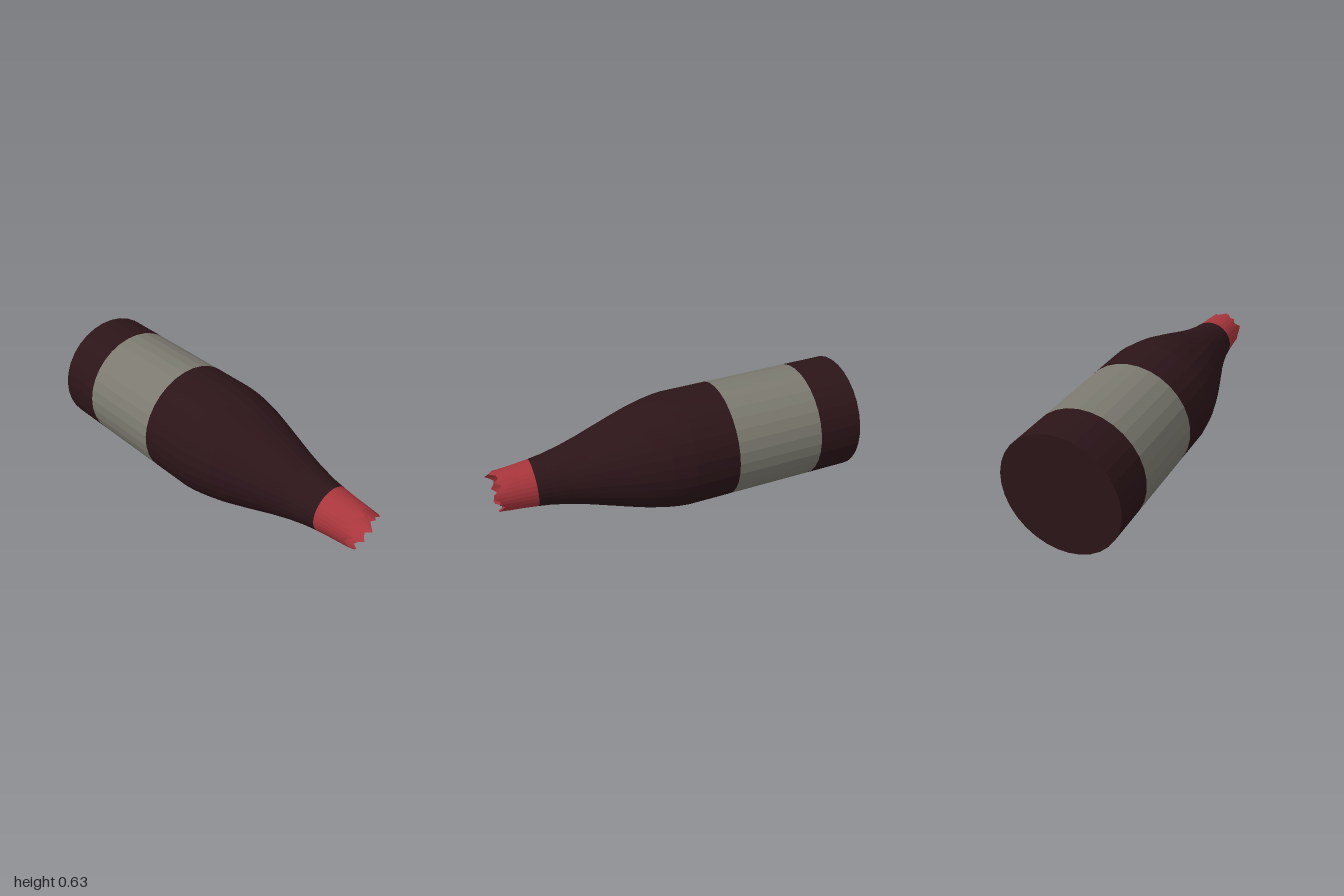
import * as THREE from 'three';

const SIDES = 32;

// Turned section; each profile point is [distance along the axis, radius]
function turned(name, profile, color) {
  const points = profile.map(([along, radius]) => new THREE.Vector2(radius, along));
  const geometry = new THREE.LatheGeometry(points, SIDES, Math.PI / SIDES);
  const material = new THREE.MeshStandardMaterial({
    color, flatShading: true, side: THREE.DoubleSide,
  });
  const mesh = new THREE.Mesh(geometry, material);
  mesh.name = name;
  return mesh;
}

export function createModel() {
  const dark = 0x2c1519, paper = 0x7c7a70, red = 0xa8363c;
  const bottle = new THREE.Group();
  bottle.name = 'bottle';

  // Closed base and the glass below the label
  bottle.add(turned('base', [[-0.992, 0], [-0.992, 0.317], [-0.75, 0.317]], dark));

  // Label band
  bottle.add(turned('label', [[-0.75, 0.317], [-0.262, 0.317]], paper));

  // Upper body and sloping shoulder
  bottle.add(turned('shoulder', [
    [-0.262, 0.317], [-0.02, 0.317], [0.04, 0.311], [0.1, 0.301], [0.2, 0.278],
    [0.3, 0.248], [0.4, 0.216], [0.5, 0.184], [0.6, 0.156], [0.7, 0.134], [0.77, 0.124],
  ], dark));

  // Neck with a jagged broken rim
  const neck = turned('brokenNeck', [[0.77, 0.124], [0.85, 0.115], [0.91, 0.11], [0.96, 0.106]], red);
  const rim = [
    0.95, 0.955, 0.972, 0.948, 0.955, 0.975, 0.97, 0.94,
    0.945, 0.97, 0.95, 0.94, 0.975, 0.955, 0.94, 0.965,
    0.96, 0.99, 0.985, 0.95, 0.94, 0.97, 0.945, 0.95,
    0.98, 0.975, 0.95, 0.97, 0.945, 0.965, 0.996, 0.97,
  ];
  const position = neck.geometry.attributes.position;
  for (let i = 0; i <= SIDES; i++) position.setY(i * 4 + 3, rim[i % SIDES]);
  neck.geometry.computeVertexNormals();
  bottle.add(neck);

  // Lay the bottle on its side, turned slightly towards the front
  bottle.rotation.set(0, -0.0255, -Math.PI / 2, 'YXZ');
  bottle.position.set(0, 0.316, 0.01);

  const model = new THREE.Group();
  model.name = 'brokenBottle';
  model.add(bottle);
  return model;
}
